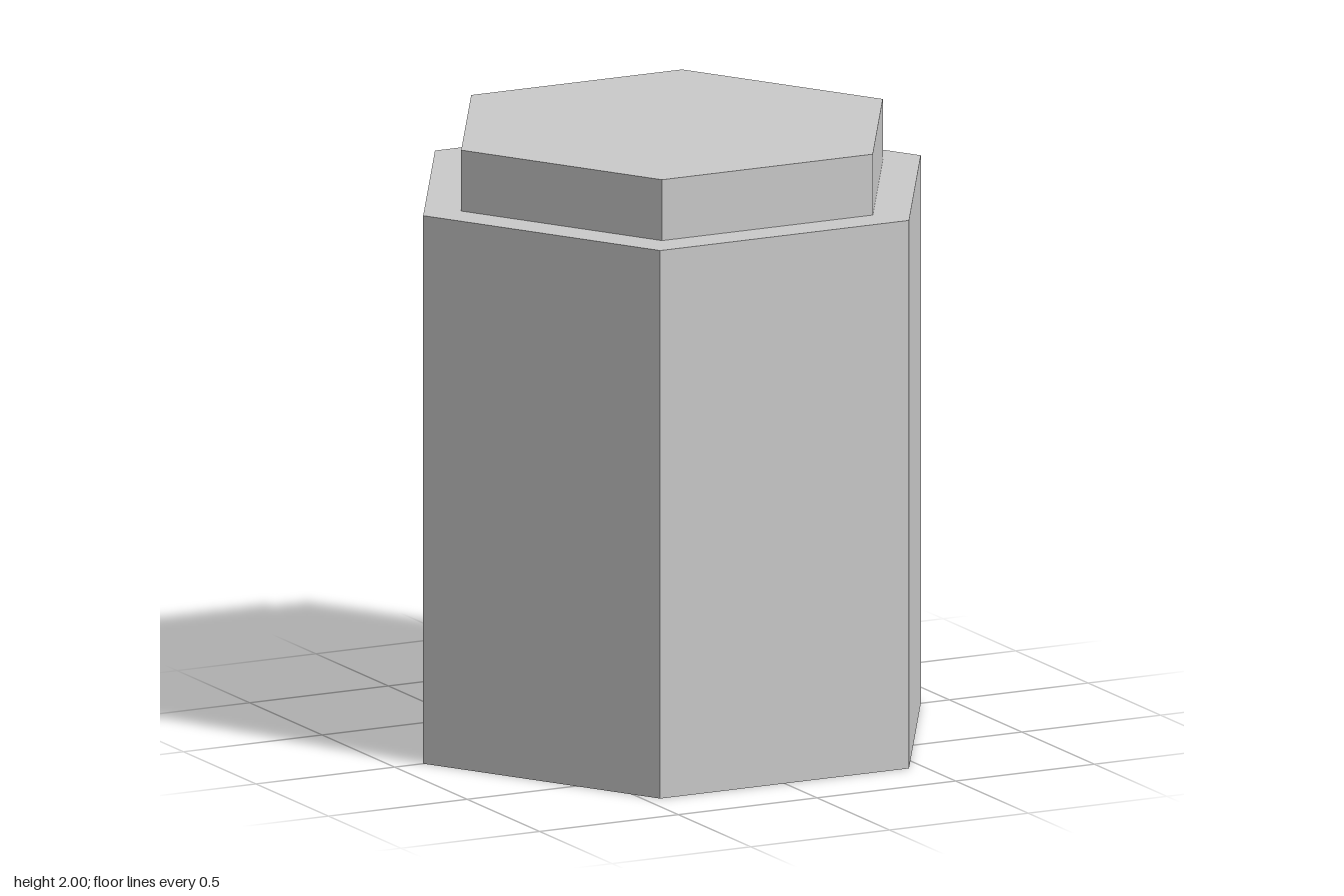
import * as THREE from 'three';

const material = new THREE.MeshStandardMaterial({ color: 0xcccccc, flatShading: true });

// Upright hexagonal prism with corners on the x axis and flat sides facing front and back
function hexPrism(name, radius, bottom, top) {
  const geometry = new THREE.CylinderGeometry(radius, radius, top - bottom, 6, 1, false, Math.PI / 6);
  const mesh = new THREE.Mesh(geometry, material);
  mesh.name = name;
  mesh.position.y = (bottom + top) / 2;
  return mesh;
}

export function createModel() {
  const model = new THREE.Group();
  model.name = 'hexagonalJar';
  model.add(
    hexPrism('body', 0.897, 0, 1.8),
    hexPrism('lid', 0.76, 1.8, 2)
  );
  return model;
}
